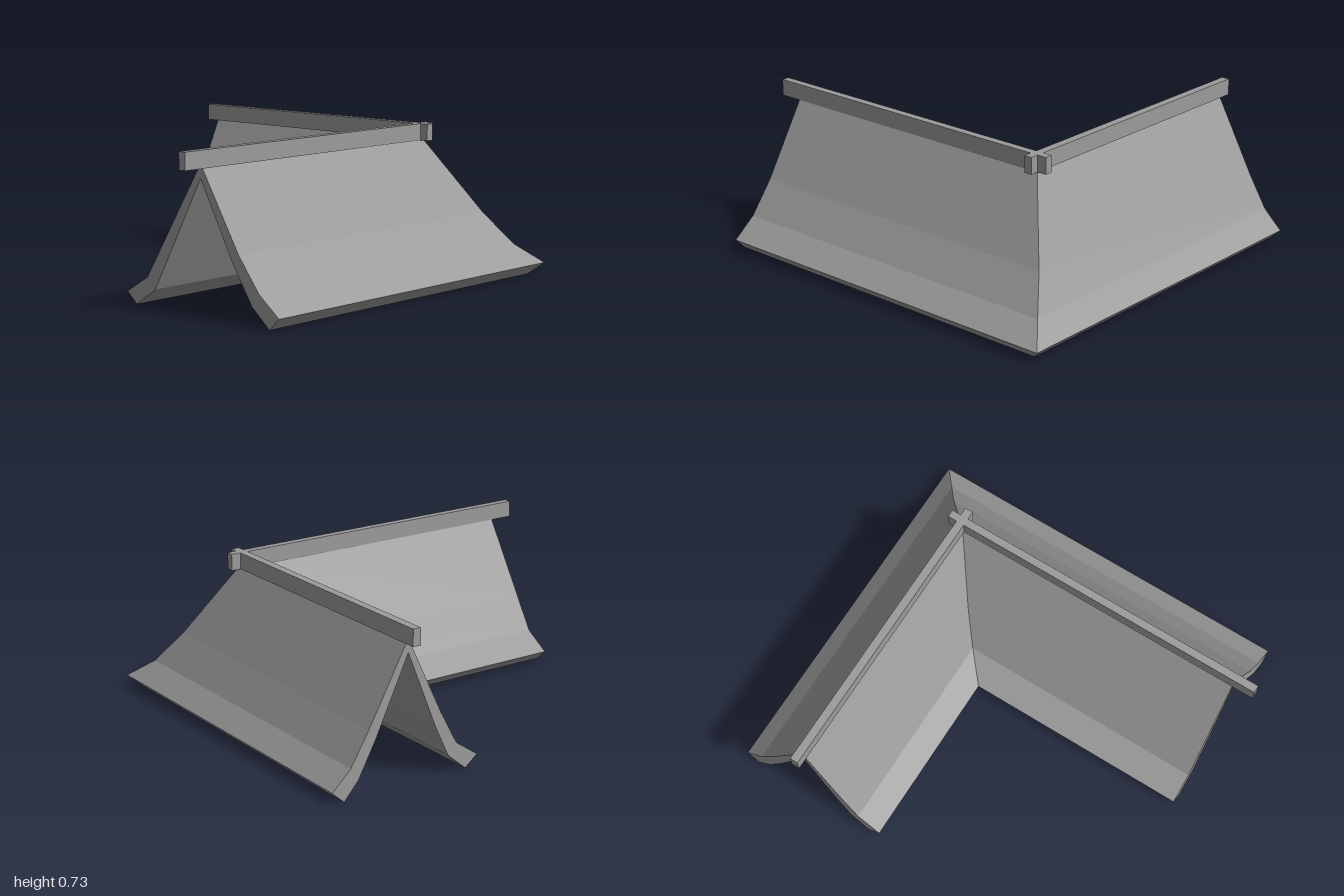
import * as THREE from 'three';

// Roof cross-section from inner eave over the ridge to the outer eave.
// Each row: x on the front wing, z on the side wing, height y.
const TOP = [
  [0.01, -0.23, 0.055], [0.14, -0.345, 0.135], [0.24, -0.43, 0.295], [0.475, -0.605, 0.67],
  [0.7, -0.81, 0.3], [0.82, -0.905, 0.145], [0.935, -1, 0.055],
];
const UNDER = [
  [0.07, -0.295, 0.003], [0.19, -0.39, 0.085], [0.27, -0.457, 0.23], [0.475, -0.605, 0.605],
  [0.67, -0.775, 0.25], [0.78, -0.865, 0.085], [0.88, -0.94, 0],
];
const FRONT_END = 0.89, SIDE_END = -0.88;

const atFront = ([x, , y]) => [x, y, FRONT_END];
const atMitre = ([x, z, y]) => [x, y, z];
const atSide = ([, z, y]) => [SIDE_END, y, z];

function quad(out, a, b, c, d) {
  out.push(...a, ...b, ...c, ...a, ...c, ...d);
}

// One wing: shell swept between two stations, plus the gable end cap
function wing(name, from, to, capAtStart, material) {
  const loop = [...TOP, ...[...UNDER].reverse()];
  const out = [];
  loop.forEach((p, i) => {
    const q = loop[(i + 1) % loop.length];
    quad(out, from(p), from(q), to(q), to(p));
  });
  for (let i = 0; i < TOP.length - 1; i++) {
    const [a, b, c, d] = [TOP[i], TOP[i + 1], UNDER[i + 1], UNDER[i]];
    if (capAtStart) quad(out, from(d), from(c), from(b), from(a));
    else quad(out, to(a), to(b), to(c), to(d));
  }
  const geo = new THREE.BufferGeometry();
  geo.setAttribute('position', new THREE.Float32BufferAttribute(out, 3));
  geo.computeVertexNormals();
  const mesh = new THREE.Mesh(geo, material);
  mesh.name = name;
  return mesh;
}

function beam(name, x0, x1, z0, z1, material) {
  const mesh = new THREE.Mesh(new THREE.BoxGeometry(x1 - x0, 0.08, z1 - z0), material);
  mesh.position.set((x0 + x1) / 2, 0.69, (z0 + z1) / 2);
  mesh.name = name;
  return mesh;
}

export function createModel() {
  const group = new THREE.Group();
  group.name = 'cornerRoof';
  const mat = new THREE.MeshStandardMaterial({ color: 0x9b9b9b, flatShading: true, side: THREE.DoubleSide });

  // Two roof wings meeting in a mitred corner
  group.add(wing('frontWing', atFront, atMitre, true, mat));
  group.add(wing('sideWing', atMitre, atSide, false, mat));

  // Crossing ridge beams
  group.add(beam('frontRidgeBeam', 0.455, 0.493, -0.67, 1, mat));
  group.add(beam('sideRidgeBeam', -0.94, 0.535, -0.623, -0.583, mat));
  return group;
}
